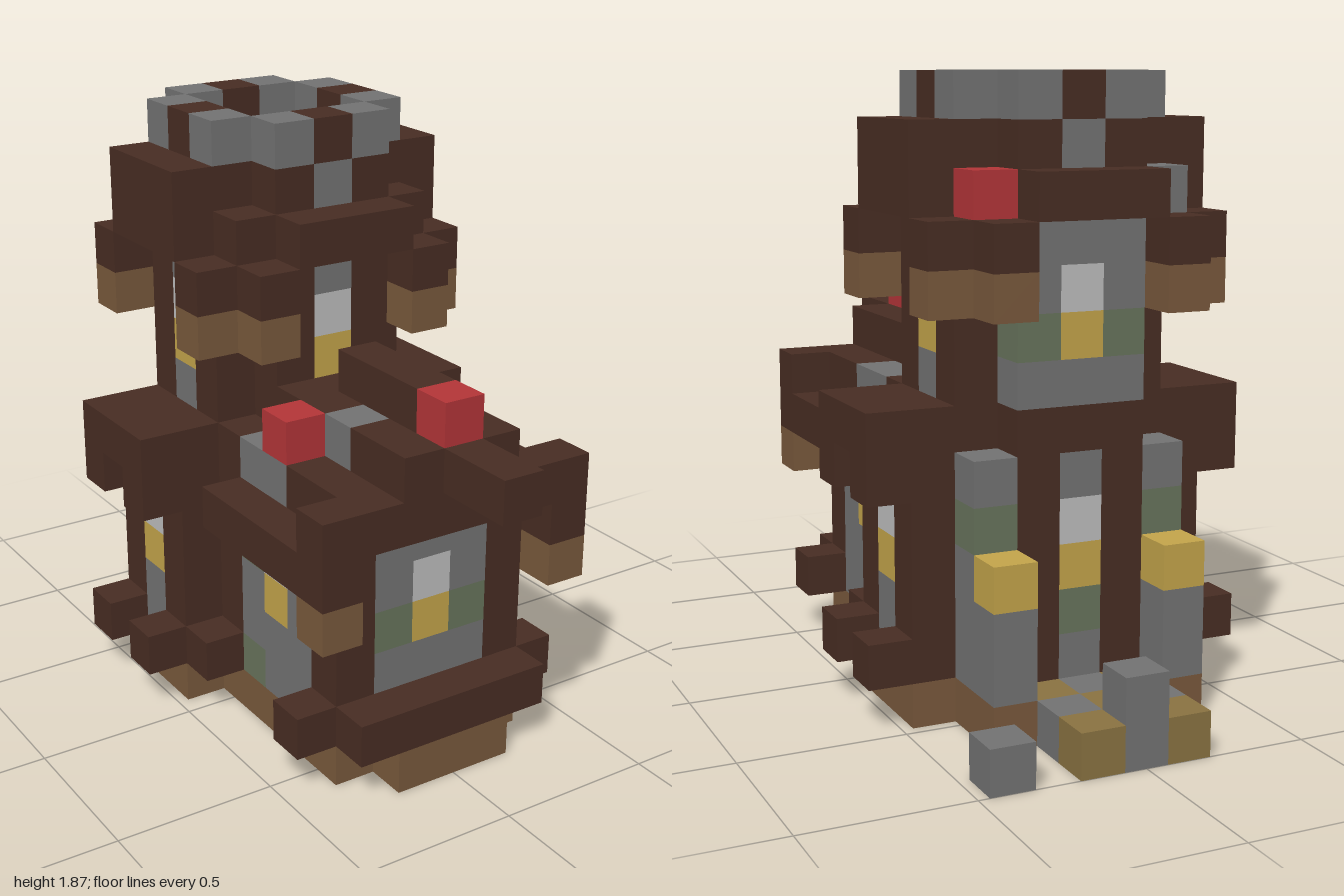
import * as THREE from 'three';
import { mergeGeometries } from 'three/addons/utils/BufferGeometryUtils.js';

const U = 2 / 15; // block size
const mat = (name, hex) => Object.assign(new THREE.MeshStandardMaterial({ color: hex }), { name });

export function createModel() {
  const M = {
    wood: mat('darkWood', 0x482d23), stone: mat('stone', 0x737373), moss: mat('mossyStone', 0x68745c),
    tan: mat('tanWood', 0x79593c), gold: mat('lamp', 0xc4a54b), glass: mat('paleGlass', 0xbebebe),
    red: mat('red', 0xb43538), floor: mat('ochreTile', 0x8a7341),
  };
  const cells = new Map();
  const key = (x, y, z) => `${x},${y},${z}`;
  // Fill a range of blocks; later fills replace earlier ones
  const fill = (part, color, [x0, x1], [y0, y1], [z0, z1]) => {
    for (let x = x0; x <= x1; x++) for (let y = y0; y <= y1; y++) for (let z = z0; z <= z1; z++)
      cells.set(key(x, y, z), { part, color, x, y, z });
  };
  const one = (part, color, x, y, z) => fill(part, color, [x, x], [y, y], [z, z]);
  // Fill on both sides of the centre line
  const pair = (part, color, [x0, x1], ys, zs) => {
    fill(part, color, [x0, x1], ys, zs);
    fill(part, color, [-x1, -x0], ys, zs);
  };
  const clear = ([x0, x1], [y0, y1], [z0, z1]) => {
    for (let x = x0; x <= x1; x++) for (let y = y0; y <= y1; y++) for (let z = z0; z <= z1; z++)
      cells.delete(key(x, y, z));
  };
  // Stack of colours from y upward
  const stack = (part, colors, x, y, z) => colors.forEach((c, n) => one(part, c, x, y + n, z));

  // Base and tiled path
  fill('base', 'tan', [-2, 2], [0, 0], [-5, 4]);
  fill('base', 'tan', [-1, 1], [0, 0], [5, 5]);
  pair('base', 'tan', [3, 3], [0, 0], [-3, -1]);
  for (let x = -1; x <= 1; x++) for (let z = -7; z <= -1; z++)
    one('path', (x + z) % 2 === 0 ? 'floor' : 'stone', x, 0, z);
  one('pathStone', 'stone', 0, 1, -7);
  one('looseStone', 'stone', 3, 0, -7);

  // House walls
  fill('houseWalls', 'wood', [-2, 2], [1, 6], [0, 4]);
  clear([-1, 1], [1, 5], [1, 3]);
  fill('houseFront', 'stone', [-1, 1], [2, 5], [4, 4]);
  fill('houseFront', 'moss', [-1, 1], [3, 3], [4, 4]);
  stack('houseWindow', ['gold', 'glass'], 0, 3, 4);
  pair('houseSide', 'stone', [2, 2], [1, 4], [1, 3]);
  for (const s of [-1, 1]) {
    stack('houseWindow', ['gold', 'glass'], 2 * s, 3, 2);
    one('houseSide', 'moss', 2 * s, 1, 1);
    one('houseSide', 'moss', 2 * s, 4, 1);
  }
  fill('sill', 'wood', [-2, 2], [1, 1], [5, 5]);
  pair('sill', 'wood', [3, 3], [1, 1], [4, 4]);

  // House roof
  pair('houseRoof', 'wood', [3, 3], [5, 5], [1, 5]);
  pair('houseRoof', 'wood', [3, 3], [6, 6], [5, 5]);
  fill('houseRoof', 'wood', [-2, 2], [6, 6], [1, 5]);
  fill('houseRoof', 'wood', [-1, 1], [7, 7], [1, 5]);
  pair('houseRoof', 'stone', [2, 2], [6, 6], [1, 2]);
  one('houseRoof', 'stone', -1, 7, 3);
  one('roofFlag', 'red', -2, 7, 2);
  fill('ridge', 'wood', [0, 0], [8, 8], [2, 4]);
  fill('ridge', 'wood', [0, 0], [7, 7], [6, 7]);
  one('ridge', 'red', 0, 8, 5);
  pair('eaveTips', 'tan', [3, 3], [4, 4], [5, 5]);

  // Hollow tower
  pair('towerWalls', 'wood', [2, 2], [1, 12], [-3, -1]);
  for (const z of [0, -4]) fill('towerWalls', 'wood', [-1, 1], [1, 12], [z, z]);
  pair('buttress', 'wood', [3, 3], [1, 6], [-3, -1]);
  pair('buttress', 'wood', [3, 3], [1, 1], [0, 0]);
  for (const z of [-3, -1]) {
    pair('buttress', 'wood', [4, 4], [1, 1], [z, z]);
    pair('buttress', 'wood', [4, 4], [5, 5], [z, z]);
  }
  pair('buttress', 'wood', [4, 4], [6, 6], [-3, -1]);
  // Rear stonework
  pair('rearWall', 'stone', [1, 1], [7, 10], [-4, -4]);
  pair('rearWall', 'moss', [1, 1], [8, 8], [-4, -4]);
  for (const s of [-1, 1]) {
    stack('rearColumn', ['stone', 'stone', 'stone', 'moss', 'stone'], 2 * s, 1, -4);
    stack('rearLamp', ['stone', 'stone', 'gold'], 2 * s, 1, -5);
    stack('towerWindow', ['stone', 'stone', 'gold', 'glass'], 3 * s, 1, -2);
    stack('towerWindow', ['stone', 'gold', 'glass', 'stone'], 2 * s, 7, -2);
  }
  stack('towerWindow', ['stone', 'moss', 'gold', 'glass', 'stone'], 0, 1, -4);
  stack('towerWindow', ['stone', 'gold', 'glass', 'stone'], 0, 7, -4);
  stack('towerWindow', ['gold', 'glass', 'stone'], 0, 8, 0);

  // Tower roof with corner eaves
  for (const [zIn, zOut] of [[0, 1], [-4, -5]]) {
    pair('towerEaves', 'tan', [3, 3], [9, 9], [zIn, zIn]);
    pair('towerEaves', 'tan', [2, 2], [9, 9], [zOut, zOut]);
    pair('towerRoof', 'wood', [2, 3], [10, 10], [zIn, zIn]);
    pair('towerRoof', 'wood', [2, 2], [10, 10], [zOut, zOut]);
    pair('towerRoof', 'wood', [2, 2], [11, 11], [zIn, zIn]);
    fill('towerRoof', 'wood', [-1, 1], [11, 11], [zOut, zOut]);
  }
  pair('towerRoof', 'wood', [3, 3], [11, 12], [-3, -1]);
  one('towerRoof', 'red', 2, 11, -4);
  one('towerRoof', 'stone', -2, 11, -4);
  for (const z of [0, -4]) one('towerRoof', 'stone', 0, 12, z);

  // Crown
  pair('crown', 'stone', [2, 2], [13, 13], [-3, -1]);
  pair('crown', 'wood', [2, 2], [13, 13], [-2, -2]);
  for (const z of [0, -4]) {
    fill('crown', 'stone', [-1, 1], [13, 13], [z, z]);
    one('crown', 'wood', 0, 13, z);
  }

  // Things on the tower floor
  one('floorLamp', 'gold', 0, 1, -2);
  one('redBlock', 'red', -1, 1, -1);
  pair('mossBlock', 'moss', [1, 1], [1, 1], [-3, -3]);

  // Outer faces of every block, joined per part and colour
  const H = Math.PI / 2;
  const sides = [[1, 0, 0, 0, H], [-1, 0, 0, 0, -H], [0, 1, 0, -H, 0], [0, -1, 0, H, 0], [0, 0, 1, 0, 0], [0, 0, -1, 0, 2 * H]];
  const parts = new Map();
  for (const { part, color, x, y, z } of cells.values()) {
    for (const [dx, dy, dz, rx, ry] of sides) {
      if (cells.has(key(x + dx, y + dy, z + dz))) continue;
      const face = new THREE.PlaneGeometry(U, U).rotateX(rx).rotateY(ry)
        .translate((x + dx / 2) * U, (y + 0.5 + dy / 2) * U, (z + dz / 2) * U);
      const id = `${part}:${color}`;
      if (!parts.has(id)) parts.set(id, []);
      parts.get(id).push(face);
    }
  }
  const model = new THREE.Group();
  model.name = 'blockTowerHouse';
  for (const [id, faces] of parts) {
    const [part, color] = id.split(':');
    const mesh = new THREE.Mesh(mergeGeometries(faces), M[color]);
    mesh.name = part;
    model.add(mesh);
  }
  return model;
}
